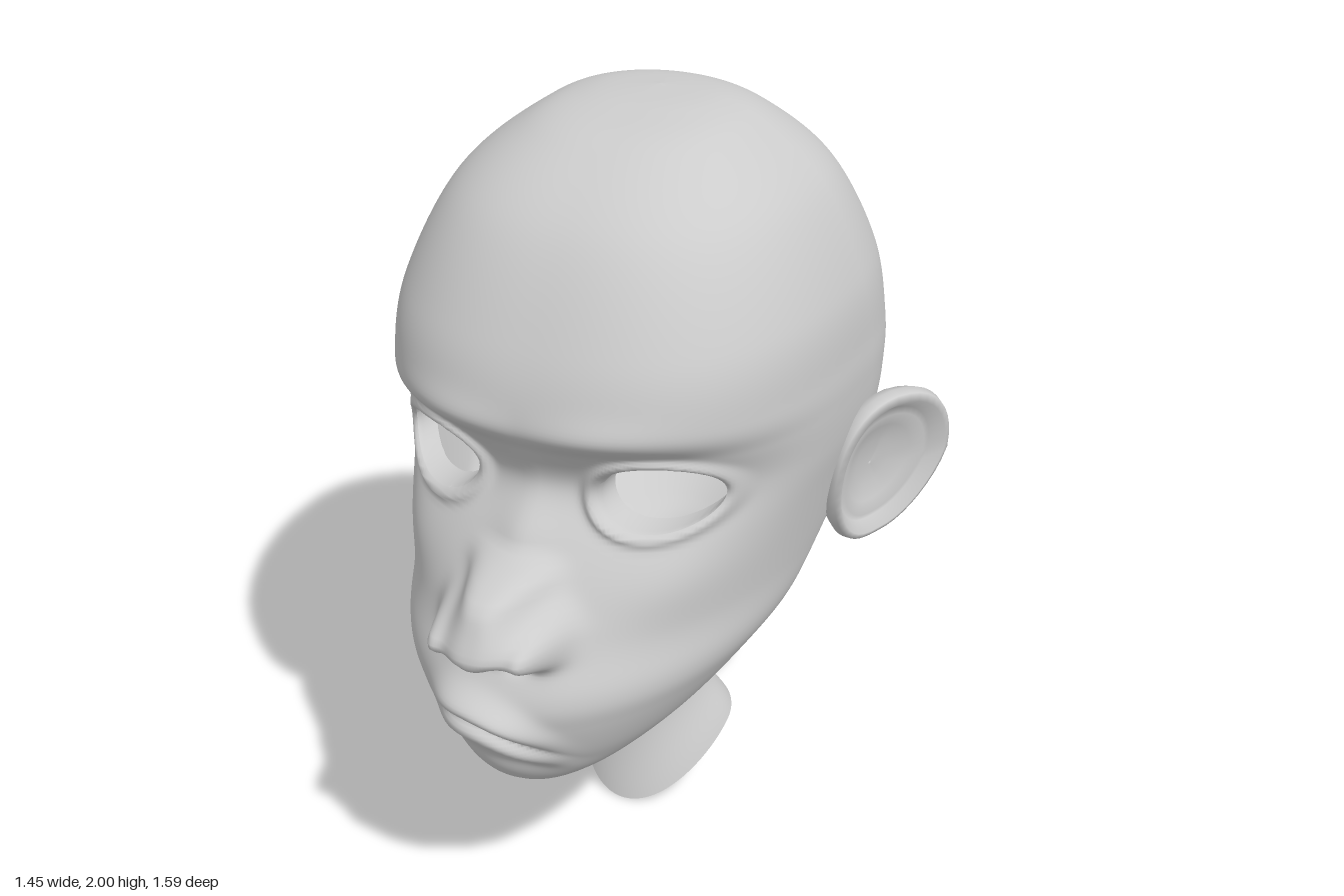
import * as THREE from 'three';

const skin = new THREE.MeshStandardMaterial({ color: 0xcccccc, side: THREE.DoubleSide });

// Rings from crown to neck: front z, front y, back z, back y, half width, z of widest point
const RINGS = [
  [-.2, 2, -.2, 2, 0, -.2], [-.04, 1.986, -.34, 1.986, .17, -.2], [.14, 1.94, -.46, 1.93, .29, -.2],
  [.34, 1.81, -.6, 1.81, .435, -.2], [.485, 1.59, -.74, 1.61, .535, -.2], [.54, 1.43, -.79, 1.42, .56, -.23],
  [.51, 1.345, -.785, 1.31, .563, -.235], [.48, 1.24, -.765, 1.2, .555, -.23], [.54, 1.12, -.73, 1.1, .533, -.19],
  [.64, .93, -.66, .96, .5, -.1], [.71, .8, -.57, .86, .472, 0], [.71, .71, -.5, .8, .43, .05],
  [.67, .59, -.44, .75, .36, .1], [.61, .5, -.39, .71, .275, .14], [.51, .47, -.355, .665, .21, .13],
  [.2, .54, -.31, .59, .145, -.06], [0, .455, -.3, .49, .113, -.16], [-.06, .26, -.36, .3, .14, -.21],
  [0, 0, -.415, .2, .205, -.25],
];
const EYE = { x: .285, y: 1.242, rx: .13, ry: .085 };

const bump = (x, y, cx, cy, sx, sy) => Math.exp(-(((x - cx) / sx) ** 2) - (((y - cy) / sy) ** 2));

// Forward relief of the face at a point
function relief(x, y) {
  const ax = Math.abs(x);
  const r = Math.hypot((ax - EYE.x) / EYE.rx, (y - EYE.y) / EYE.ry);
  let d = -.06 * Math.exp(-((r / 1.7) ** 2)) + .026 * Math.exp(-(((r - 1.12) / .15) ** 2)); // socket, lids
  d += .022 * bump(ax, y, .2, 1.41 - .3 * (ax - .25) ** 2, .18, .05);      // brow
  d += .015 * bump(ax, y, .36, 1.03, .1, .09);                             // cheekbone
  d += .02 * bump(x, y, 0, 1.14, .07, .08);                                // nose bridge
  const noseW = .09 + .04 * THREE.MathUtils.smoothstep(1.05 - y, 0, .1);
  d += .165 * Math.exp(-((ax / noseW) ** 3) - (((y - .99) / .1) ** 6));    // nose
  d += .075 * bump(ax, y, .125, .945, .036, .05);                          // nostril wings
  d -= .065 * bump(ax, y, .06, .895, .03, .022);                           // nostrils
  const m = y - (.715 - .25 * x - 1.9 * x * x);                            // height above mouth line
  const lip = Math.exp(-(((x + .012) / .145) ** 4));
  d += lip * (.05 * Math.exp(-(((m - .045) / .036) ** 2)) + .037 * Math.exp(-(((m + .035) / .036) ** 2)));
  d -= lip * .016 * Math.exp(-((m / .012) ** 2));                          // mouth line
  d -= .01 * bump(x, y, 0, .59, .15, .03);                                 // hollow above chin
  return d;
}

function meshFrom(name, pos, idx) {
  const g = new THREE.BufferGeometry();
  g.setAttribute('position', new THREE.Float32BufferAttribute(pos, 3));
  g.setIndex(idx);
  g.computeVertexNormals();
  const mesh = new THREE.Mesh(g, skin);
  mesh.name = name;
  return mesh;
}

// Skull, face, jaw and neck as one loft with the eyes cut out
function headSkin(group) {
  const front = new THREE.CatmullRomCurve3(RINGS.map(r => new THREE.Vector3(r[0], r[1], r[4])), false, 'catmullrom');
  const back = new THREE.CatmullRomCurve3(RINGS.map(r => new THREE.Vector3(r[2], r[3], r[5])), false, 'catmullrom');
  const rows = (RINGS.length - 1) * 12, cols = 240;
  const pos = [], idx = [], inEye = [];
  for (let i = 0; i <= rows; i++) {
    const t = i / rows, F = front.getPoint(t), B = back.getPoint(t), zm = B.z;
    const pinch = .25 * Math.exp(-(((F.y - .65) / .3) ** 2)) * (1 - THREE.MathUtils.smoothstep(t, .85, 1));
    const sag = .05 * THREE.MathUtils.smoothstep(t, .9, 1);
    // The upper face is squarer than an ellipse
    const p = 1 - .23 * THREE.MathUtils.smoothstep(F.y, .85, 1.25);
    for (let j = 0; j < cols; j++) {
      const th = j / cols * Math.PI * 2, a = th - .45 * Math.sin(th);
      const c = Math.cos(a), sn = Math.sin(a);
      let x, z;
      if (c > 0) {
        x = F.z * Math.sign(sn) * Math.abs(sn) ** p;
        z = zm + c ** p * (F.x - zm);
      } else {
        x = F.z * sn * (1 + pinch * c);
        z = zm + c * (zm - B.x);
      }
      const f = (F.x - z) / Math.max(F.x - B.x, 1e-4);
      let y = F.y + (B.y - F.y) * f + sag * 4 * f * (1 - f);
      // Slide points inside an eye out to its rim
      const s = Math.sign(x) || 1;
      const u = (x * s - EYE.x) / EYE.rx, v = (y - EYE.y) / EYE.ry, r = Math.max(Math.hypot(u, v), 1e-4);
      const inside = z > 0 && r < 1;
      inEye.push(inside ? s : 0);
      if (inside) {
        x = s * (EYE.x + EYE.rx * u / r);
        y = EYE.y + EYE.ry * v / r;
        z = zm + (1 - (Math.abs(x) / F.z) ** (2 / p)) ** (p / 2) * (F.x - zm);
      }
      z += relief(x, y) * THREE.MathUtils.smoothstep(z, 0, .25);
      pos.push(x, y, z);
    }
  }
  const rim = new Set();
  const tri = (...t) => {
    if (t.every(k => inEye[k])) return;
    idx.push(...t);
    t.forEach(k => inEye[k] && rim.add(k));
  };
  for (let i = 0; i < rows; i++) for (let j = 0; j < cols; j++) {
    const a = i * cols + j, d = i * cols + (j + 1) % cols;
    tri(a, a + cols, d + cols);
    tri(a, d + cols, d);
  }
  group.add(meshFrom('headSkin', pos, idx));

  // Eyelid edges rolling inward from each eye rim
  for (const s of [1, -1]) {
    const pts = [...rim].filter(k => inEye[k] === s).map(k => {
      const [x, y, z] = pos.slice(k * 3, k * 3 + 3);
      return { x, y, z, a: Math.atan2((y - EYE.y) / EYE.ry, (x - s * EYE.x) / EYE.rx) };
    }).sort((p, q) => p.a - q.a);
    const n = pts.length, lp = [], li = [];
    [[1, 0], [.97, -.015], [.96, -.08]].forEach(([k, dz], ring) => pts.forEach((p, j) => {
      lp.push(s * EYE.x + (p.x - s * EYE.x) * k, EYE.y + (p.y - EYE.y) * k, p.z + dz);
      if (ring) {
        const b = ring * n + j, e = ring * n + (j + 1) % n;
        li.push(b - n, e - n, e, b - n, e, b);
      }
    }));
    group.add(meshFrom(s > 0 ? 'leftEyelid' : 'rightEyelid', lp, li));
  }
}

// Ear: rings from the hollow over the rim to the root behind
function ear(side) {
  const N = 40, pos = [], idx = [];
  // Size, offset along the ear normal, inward shift to the head
  const rings = [
    [.02, -.025, 0], [.3, -.025, 0], [.52, -.012, 0], [.68, 0, 0], [.76, -.005, 0], [.88, .025, 0],
    [.97, .015, 0], [1, -.01, 0], [.95, -.04, 0], [.78, -.06, .015], [.6, -.075, .04], [.5, -.1, .09],
  ];
  rings.forEach(([k, d, inn], i) => {
    for (let j = 0; j < N; j++) {
      const a = j / N * Math.PI * 2, ca = Math.cos(a), sa = Math.sin(a);
      const lobe = sa < 0 ? 1 + .2 * sa : 1;
      const u = -.03 * (1 - k) + k * (.2 * Math.sign(ca) * Math.abs(ca) ** .85 * lobe + .03 * Math.min(0, sa));
      const v = k * .203 * Math.sign(sa) * Math.abs(sa) ** .9;
      const x = .606 + .53 * u + .85 * d - inn + .15 * Math.max(0, -u) + .08 * v;
      pos.push(side * x, 1.092 + v, -.25 - .85 * u + .53 * d);
      if (i) {
        const b = i * N + j, e = i * N + (j + 1) % N;
        // Mirrored ears need the opposite corner order
        if (side > 0) idx.push(b - N, b, e, b - N, e, e - N);
        else idx.push(b - N, e, b, b - N, e - N, e);
      }
    }
  });
  return meshFrom(side > 0 ? 'leftEar' : 'rightEar', pos, idx);
}

export function createModel() {
  const group = new THREE.Group();
  group.name = 'head';
  headSkin(group);
  group.add(ear(1), ear(-1));
  return group;
}
